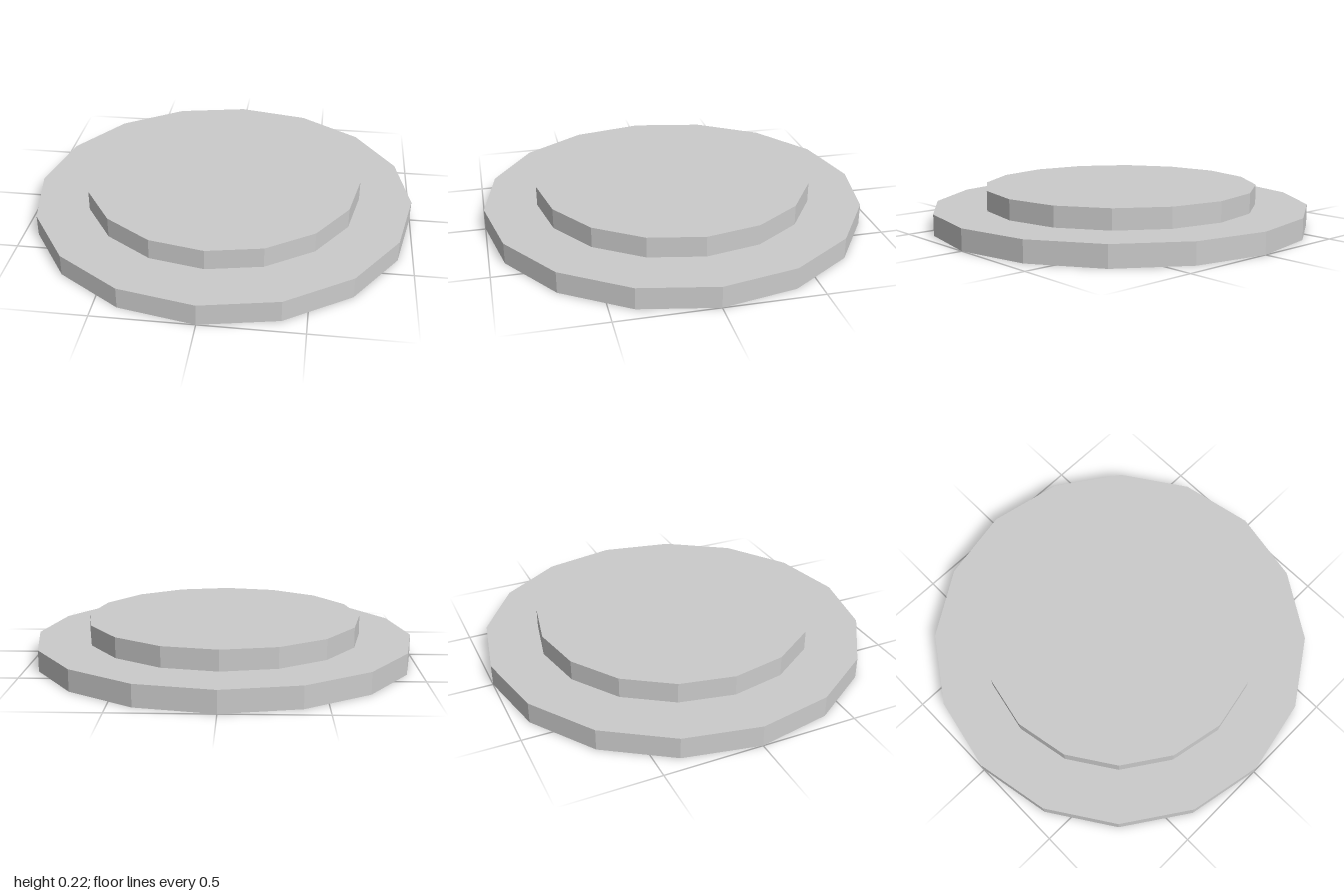
import * as THREE from 'three';

const SIDES = 16;

export function createModel() {
  const group = new THREE.Group();
  const material = new THREE.MeshStandardMaterial({ color: 0xcccccc, flatShading: true });

  // A faceted disc resting at height y
  const addDisc = (name, radius, y, height) => {
    const disc = new THREE.Mesh(new THREE.CylinderGeometry(radius, radius, height, SIDES), material);
    disc.name = name;
    disc.position.y = y + height / 2;
    group.add(disc);
  };

  // Wide base with a smaller step on top
  addDisc('lowerDisc', 1, 0, 0.11);
  addDisc('upperDisc', 0.725, 0.11, 0.105);

  return group;
}
